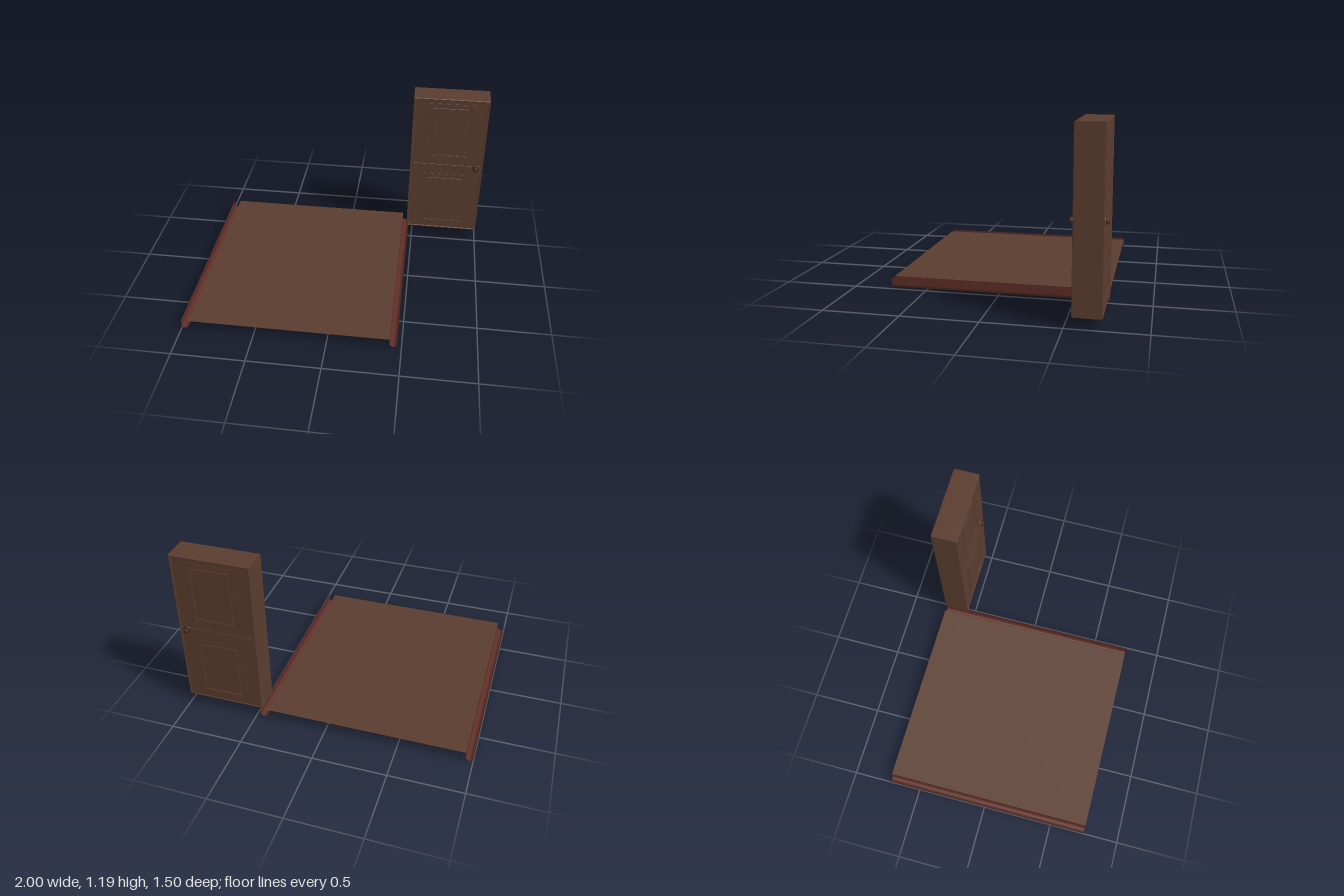
import * as THREE from 'three';

const brown = new THREE.MeshStandardMaterial({ color: 0x5a3c2e });
brown.name = 'woodBrown';
const sheet = new THREE.MeshStandardMaterial({ color: 0x5a3c2e, side: THREE.DoubleSide });
sheet.name = 'roofBrown';
const red = new THREE.MeshStandardMaterial({ color: 0x5c2d25, side: THREE.DoubleSide });
red.name = 'gutterRed';
const dark = new THREE.MeshStandardMaterial({ color: 0x4a2b22 });
dark.name = 'knobBrown';

function add(parent, name, geometry, material, x = 0, y = 0, z = 0) {
  const mesh = new THREE.Mesh(geometry, material);
  mesh.name = name;
  mesh.position.set(x, y, z);
  parent.add(mesh);
  return mesh;
}

function rect(path, w, h, y = 0) {
  path.moveTo(-w / 2, y - h / 2);
  path.lineTo(w / 2, y - h / 2);
  path.lineTo(w / 2, y + h / 2);
  path.lineTo(-w / 2, y + h / 2);
  path.closePath();
  return path;
}

// Rectangular plate with rectangular openings [width, height, centreY]
function plate(w, h, depth, holes, bevel = 0) {
  const shape = rect(new THREE.Shape(), w - 2 * bevel, h - 2 * bevel);
  holes.forEach(a => shape.holes.push(rect(new THREE.Path(), ...a)));
  return new THREE.ExtrudeGeometry(shape, {
    depth: depth - 2 * bevel, bevelEnabled: bevel > 0, bevelSize: bevel,
    bevelThickness: bevel, bevelSegments: 1,
  }).translate(0, 0, bevel);
}

// Open U-shaped trough running along z, bent from a flat strip
function gutterGeometry(length) {
  const r = 0.025, top = 0.065, arc = 12;
  const profile = [[-r, top]];
  for (let i = 0; i <= arc; i++) {
    const a = Math.PI * (1 + i / arc);
    profile.push([r * Math.cos(a), r + r * Math.sin(a)]);
  }
  profile.push([r, top]);
  const g = new THREE.PlaneGeometry(1, 1, profile.length - 1, 1);
  const p = g.attributes.position;
  for (let i = 0; i < p.count; i++) {
    const [x, y] = profile[i % profile.length];
    p.setXYZ(i, x, y, i < profile.length ? -length / 2 : length / 2);
  }
  g.computeVertexNormals();
  return g;
}

// Mouldings and knob of one door face; local z = 0 is the recessed slab face
function doorFace(knobX) {
  const face = new THREE.Group();
  const panels = [[0.27, 0.395, 0.3], [0.27, 0.395, -0.287]];
  add(face, 'doorStiles', plate(0.518, 1.103, 0.005, panels), brown);
  for (const [w, h, y] of panels) {
    add(face, 'raisedPanel', plate(w - 0.02, h - 0.02, 0.006, [], 0.002), brown, 0, y, 0);
    add(face, 'panelMoulding', plate(0.35, 0.45, 0.0065, [[w + 0.012, h + 0.012, 0]], 0.0008), brown, 0, y, 0);
  }
  add(face, 'middleRail', plate(0.512, 0.055, 0.007, [], 0.002), brown, 0, -0.005, 0);
  add(face, 'knobPlate', new THREE.CylinderGeometry(0.026, 0.028, 0.004, 24).rotateX(Math.PI / 2), dark, knobX, 0, 0.008);
  const knob = [[0.009, 0], [0.009, 0.008], [0.016, 0.012], [0.018, 0.018], [0.014, 0.025], [0, 0.028]];
  add(face, 'doorKnob', new THREE.LatheGeometry(knob.map(a => new THREE.Vector2(...a)), 20).rotateX(Math.PI / 2), dark, knobX, 0, 0.005);
  return face;
}

export function createModel() {
  const model = new THREE.Group();
  model.name = 'roofAndDoor';

  // Flat sheet between the two gutters
  const length = 1.475, zMid = 0.0125;
  add(model, 'roofSheet', new THREE.PlaneGeometry(1.37, length).rotateX(-Math.PI / 2), sheet, -0.265, 0.062, zMid);
  const gutter = gutterGeometry(length);
  add(model, 'rightGutter', gutter, red, -0.975, 0, zMid);
  add(model, 'leftGutter', gutter, red, 0.445, 0, zMid);

  // Door: slab inside a slightly raised rim, same detail on both faces
  const door = new THREE.Group();
  door.name = 'door';
  door.position.set(0.728, 0.632, -0.637);
  model.add(door);
  add(door, 'doorSlab', new THREE.BoxGeometry(0.53, 1.115, 0.164), brown);
  add(door, 'doorRim', plate(0.544, 1.125, 0.182, [[0.524, 1.109, 0]], 0.004), brown, 0, 0, -0.091);
  const front = doorFace(0.22);
  front.name = 'frontFace';
  front.position.z = 0.082;
  const back = doorFace(-0.22);
  back.name = 'backFace';
  back.position.z = -0.082;
  back.rotation.y = Math.PI;
  door.add(front, back);
  return model;
}
